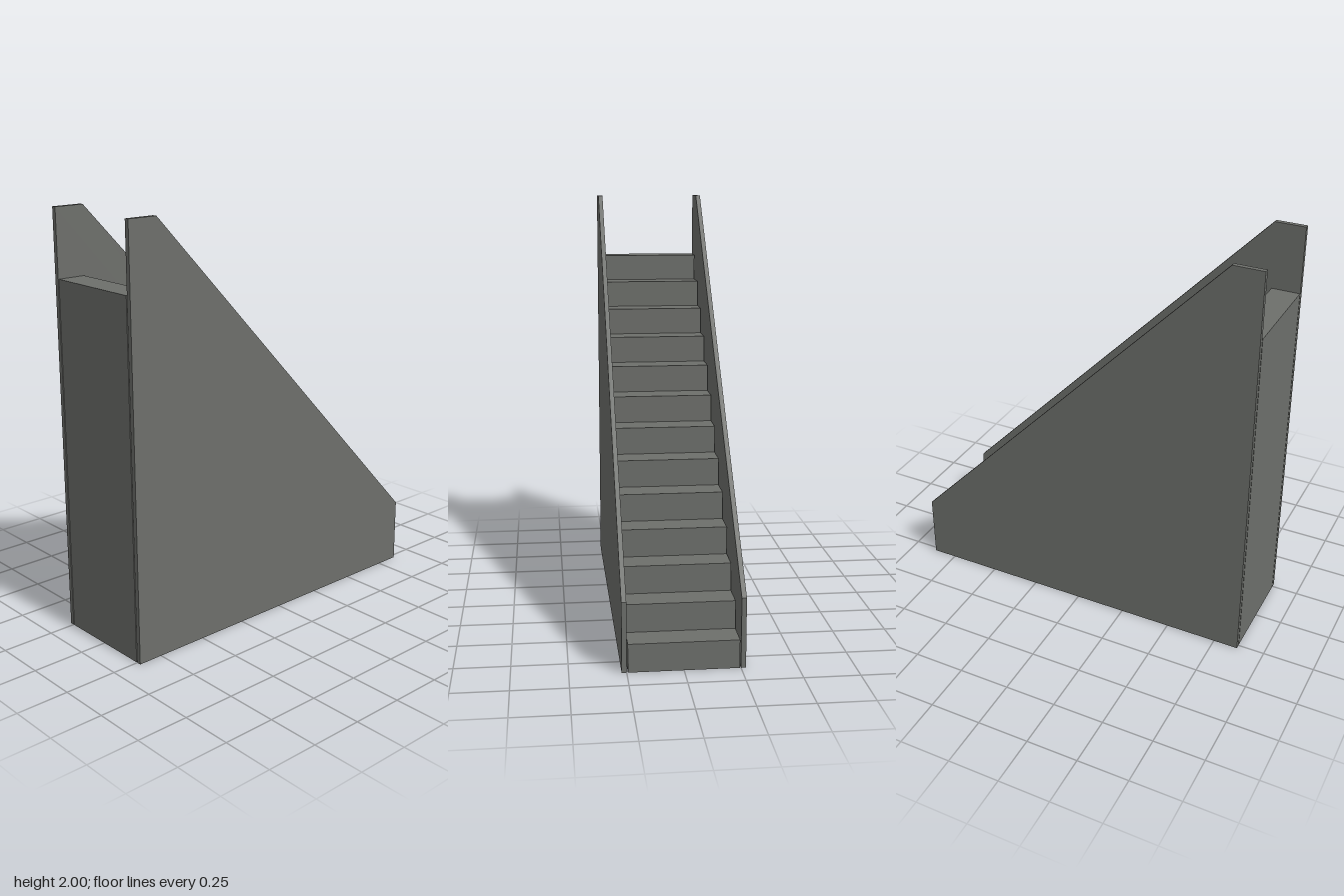
import * as THREE from 'three';

const DEPTH = 1.74, BACK = -DEPTH / 2, FRONT = DEPTH / 2;
const STEPS = 13, TOP_STEP = 1.683;

// Extrudes a [z, y] side profile across x, centred on centreX
function sideExtrude(points, width, centreX, material, name) {
  const shape = new THREE.Shape(points.map(([z, y]) => new THREE.Vector2(z, y)));
  const geometry = new THREE.ExtrudeGeometry(shape, { depth: width, bevelEnabled: false });
  geometry.rotateY(-Math.PI / 2).translate(centreX + width / 2, 0, 0);
  const mesh = new THREE.Mesh(geometry, material);
  mesh.name = name;
  return mesh;
}

export function createModel() {
  const group = new THREE.Group();
  group.name = 'staircase';
  const stone = new THREE.MeshStandardMaterial({ color: 0x6d6f6b });
  stone.name = 'stone grey';

  // Solid flight, rising from the back to the front
  const flight = [[FRONT, 0]];
  for (let i = STEPS; i > 0; i--) {
    const y = (TOP_STEP * i) / STEPS;
    flight.push([BACK + (DEPTH * i) / STEPS, y], [BACK + (DEPTH * (i - 1)) / STEPS, y]);
  }
  flight.push([BACK, 0]);
  group.add(sideExtrude(flight, 0.49, 0, stone, 'steps'));

  // Solid side walls with sloping tops, set just clear of the steps
  const wall = [[BACK, 0], [FRONT, 0], [FRONT, 2], [0.725, 2], [BACK, 0.32]];
  for (const [side, name] of [[1, 'leftWall'], [-1, 'rightWall']]) {
    group.add(sideExtrude(wall, 0.022, side * 0.261, stone, name));
  }
  return group;
}
